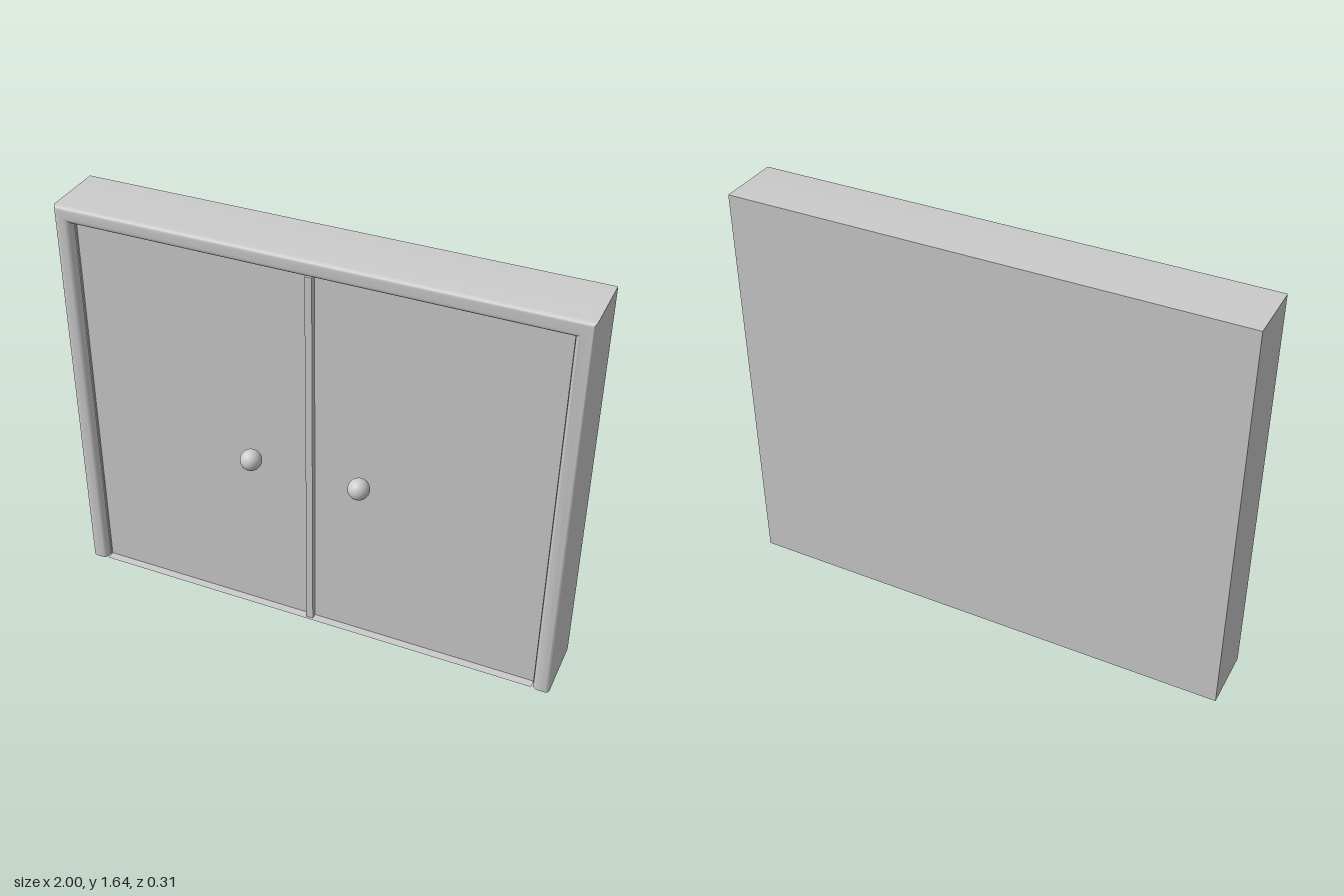
import * as THREE from 'three';
import { toCreasedNormals } from 'three/addons/utils/BufferGeometryUtils.js';

const H = 1.645, BACK = -0.157, FRONT = 0.105, DOOR_Z = 0.066, RIM = 0.07;

export function createModel() {
  const model = new THREE.Group();
  const mat = new THREE.MeshStandardMaterial({ color: 0xcccccc, side: THREE.DoubleSide });
  const add = (name, geometry, x = 0, y = 0, z = 0) => {
    const mesh = new THREE.Mesh(geometry, mat);
    mesh.name = name;
    mesh.position.set(x, y, z);
    model.add(mesh);
    return mesh;
  };

  // Frame profile: [distance in from the outer edge, z], with both front edges rounded
  const profile = [[0, BACK]];
  const arc = (cd, cz, r, from, to) => {
    for (let i = 0; i <= 6; i++) {
      const a = from + (to - from) * i / 6;
      profile.push([cd + r * Math.cos(a), cz + r * Math.sin(a)]);
    }
  };
  arc(0.016, FRONT - 0.016, 0.016, Math.PI, Math.PI / 2);
  arc(0.042, FRONT - 0.024, 0.024, Math.PI / 2, 0);
  profile.push([0.066, DOOR_Z + 0.008], [RIM, DOOR_Z + 0.008], [RIM, DOOR_Z]);

  // Hollow casing and frame: the profile swept up, across and down with mitred corners
  const rings = profile.map(([d, z]) => [
    [-1 + d, 0, z], [-1 + d, H - d, z], [1 - d, H - d, z], [1 - d, 0, z],
  ]);
  const pos = [];
  for (let i = 0; i < rings.length - 1; i++) {
    for (let j = 0; j < 3; j++) {
      const a = rings[i][j], b = rings[i][j + 1], c = rings[i + 1][j + 1], d = rings[i + 1][j];
      pos.push(...a, ...d, ...b, ...b, ...d, ...c);
    }
  }
  const shell = new THREE.BufferGeometry();
  shell.setAttribute('position', new THREE.Float32BufferAttribute(pos, 3));
  add('frame', toCreasedNormals(shell, 0.6));

  // Back panel
  add('backPanel', new THREE.PlaneGeometry(2, H), 0, H / 2, BACK).rotation.y = Math.PI;

  // Door leaves with knobs, and the strip between them
  const edge = 1 - RIM, doorH = H - RIM;
  const doors = [
    { side: 'right', x0: -edge, x1: -0.015, knobX: -0.23 },
    { side: 'left', x0: 0.012, x1: edge, knobX: 0.21 },
  ];
  for (const { side, x0, x1, knobX } of doors) {
    add(`${side}Door`, new THREE.PlaneGeometry(x1 - x0, doorH), (x0 + x1) / 2, doorH / 2, DOOR_Z);
    add(`${side}Knob`, new THREE.SphereGeometry(0.042, 32, 20), knobX, 0.745, 0.115);
  }
  add('centreStrip', new THREE.BoxGeometry(0.027, doorH, 0.024), -0.0015, doorH / 2, DOOR_Z + 0.012);

  // Thin sill in front of the doors
  const sillD = 0.034;
  add('sill', new THREE.PlaneGeometry(2 * edge, sillD), 0, 0.001, DOOR_Z + sillD / 2).rotation.x = -Math.PI / 2;

  return model;
}
